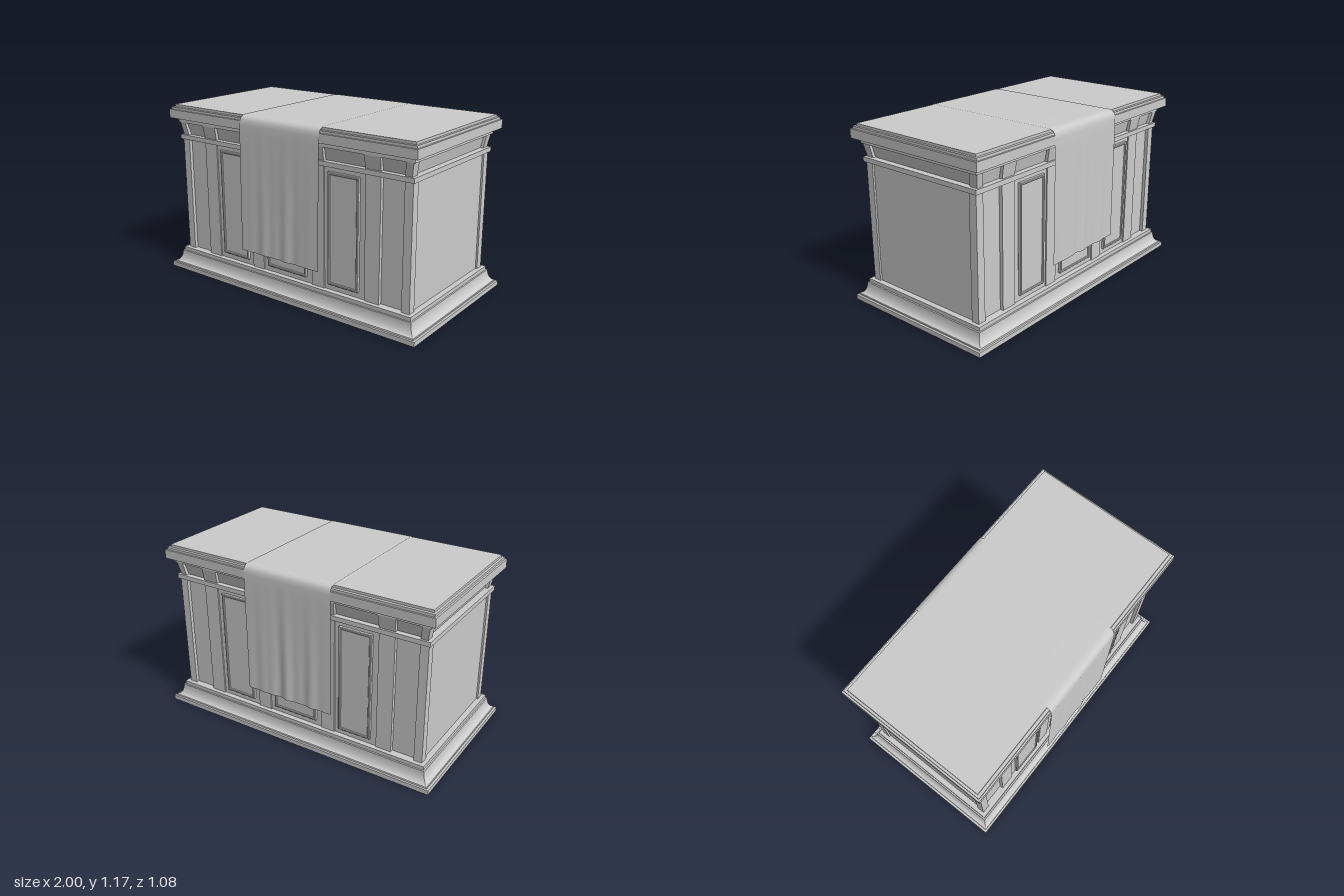
import * as THREE from 'three';
import { toCreasedNormals } from 'three/addons/utils/BufferGeometryUtils.js';

const grey = new THREE.MeshStandardMaterial({ color: 0xcccccc });
const clothGrey = new THREE.MeshStandardMaterial({ color: 0xcccccc, side: THREE.DoubleSide });

function add(parent, name, geometry, material = grey) {
  const mesh = new THREE.Mesh(geometry, material);
  mesh.name = name;
  parent.add(mesh);
  return mesh;
}

// Stack of rectangles [x0, x1, z0, z1, y] joined into a closed solid
function loft(sections) {
  const pos = [], idx = [];
  for (const [x0, x1, z0, z1, y] of sections) {
    pos.push(x0, y, z1, x1, y, z1, x1, y, z0, x0, y, z0);
  }
  for (let s = 0; s < sections.length - 1; s++) {
    for (let k = 0; k < 4; k++) {
      const a = s * 4 + k, b = s * 4 + (k + 1) % 4;
      idx.push(a, b, b + 4, a, b + 4, a + 4);
    }
  }
  const t = (sections.length - 1) * 4;
  idx.push(t, t + 1, t + 2, t, t + 2, t + 3, 0, 2, 1, 0, 3, 2);
  const g = new THREE.BufferGeometry();
  g.setAttribute('position', new THREE.Float32BufferAttribute(pos, 3));
  g.setIndex(idx);
  return toCreasedNormals(g, 0.5);
}

// Centred rectangle section and centred slab
const rect = (hx, hz, y) => [-hx, hx, -hz, hz, y];
const slab = (hx, hz, y0, y1) => loft([rect(hx, hz, y0), rect(hx, hz, y1)]);
const block = (x0, x1, z0, z1, y0, y1) => loft([[x0, x1, z0, z1, y0], [x0, x1, z0, z1, y1]]);

// Raised moulding frame with a flat field inside
function addPanel(parent, x0, x1, y0, y1, z) {
  const path = (target, i) => {
    target.moveTo(x0 + i, y0 + i);
    target.lineTo(x1 - i, y0 + i);
    target.lineTo(x1 - i, y1 - i);
    target.lineTo(x0 + i, y1 - i);
    target.closePath();
    return target;
  };
  const shape = path(new THREE.Shape(), 0.004);
  shape.holes.push(path(new THREE.Path(), 0.012));
  const frame = new THREE.ExtrudeGeometry(shape, {
    depth: 0.016, bevelEnabled: true, bevelSize: 0.004, bevelThickness: 0.004, bevelSegments: 1,
  });
  add(parent, 'panelMoulding', frame).position.z = z;
  add(parent, 'panelField', block(x0 + 0.01, x1 - 0.01, y0 ? z - 0.01 : z, z + 0.012, y0 + 0.01, y1 - 0.01));
}

// Panels, bays and pilasters of one long face, facing +z
function makeLongFace() {
  const face = new THREE.Group();
  face.name = 'longFace';
  for (const [x0, x1] of [[-0.595, -0.295], [-0.2, 0.2], [0.295, 0.595]]) {
    add(face, 'panelBay', block(x0, x1, 0.38, 0.445, 0.13, 0.93));
  }
  for (const [x0, x1] of [[-0.555, -0.33], [-0.16, 0.16], [0.33, 0.555]]) {
    addPanel(face, x0, x1, 0.18, 0.895, 0.446);
  }
  for (const [x0, x1] of [[-0.7, -0.595], [-0.295, -0.2], [0.2, 0.295], [0.595, 0.7]]) {
    add(face, 'pilaster', block(x0, x1, 0.38, 0.453, 0.13, 0.93));
    add(face, 'friezeBracket', loft([[x0, x1, 0.35, 0.453, 0.95], [x0 - 0.004, x1 + 0.004, 0.35, 0.47, 1.045]]));
  }
  return face;
}

// Cloth path across the top and down both ends, with folds growing downward
function clothGeometry() {
  const path = [[-0.525, 0.31], [-0.524, 0.5], [-0.523, 0.7], [-0.523, 0.9], [-0.522, 1.05], [-0.521, 1.11],
    [-0.517, 1.138], [-0.505, 1.155], [-0.486, 1.164], [-0.46, 1.166], [0, 1.166], [0.46, 1.166],
    [0.486, 1.164], [0.505, 1.155], [0.517, 1.138], [0.523, 1.11], [0.525, 1.05], [0.528, 0.9],
    [0.531, 0.7], [0.534, 0.5], [0.537, 0.28]];
  const cols = 48, g = new THREE.PlaneGeometry(1, 1, cols, path.length - 1);
  const p = g.attributes.position;
  for (let i = 0; i < p.count; i++) {
    const u = (i % (cols + 1)) / cols;
    const [z, y] = path[Math.floor(i / (cols + 1))];
    const drop = Math.max(0, (1.1 - y) / 0.8);
    const wave = Math.sin(u * 23 + z) * 0.6 + Math.sin(u * 41 + 2) * 0.4;
    const envelope = Math.sin(Math.PI * u);
    p.setXYZ(i, -0.312 + u * 0.626, y, z + wave * envelope * drop * (z < 0 ? 0.009 : 0.005));
  }
  g.computeVertexNormals();
  return g;
}

export function createModel() {
  const model = new THREE.Group();
  model.name = 'drapedTable';

  // Plinth with a concave moulding
  add(model, 'plinth', slab(1, 0.54, 0, 0.03));
  const cove = [rect(0.985, 0.527, 0.03), rect(0.985, 0.527, 0.038)];
  for (let i = 0; i <= 10; i++) {
    const a = (i / 10) * Math.PI / 2;
    cove.push(rect(0.945 + 0.038 * (1 - Math.sin(a)), 0.49 + 0.036 * (1 - Math.sin(a)), 0.115 - 0.075 * Math.cos(a)));
  }
  add(model, 'baseCove', loft(cove));
  add(model, 'baseFillet', slab(0.935, 0.48, 0.115, 0.14));

  // Recessed body and frieze
  add(model, 'bodyCore', slab(0.898, 0.43, 0.13, 0.93));
  add(model, 'frieze', loft([rect(0.88, 0.43, 0.95), rect(0.9, 0.452, 1.045)]));

  // Corner posts and the brackets above them
  for (const sx of [-1, 1]) {
    for (const sz of [-1, 1]) {
      const span = (s, a, b) => s > 0 ? [a, b] : [-b, -a];
      const at = (xi, xo, zi, zo, y) => [...span(sx, xi, xo), ...span(sz, zi, zo), y];
      add(model, 'cornerPost', loft([at(0.855, 0.91, 0.4, 0.453, 0.13), at(0.855, 0.91, 0.4, 0.453, 0.93)]));
      add(model, 'cornerBracket', loft([at(0.855, 0.9, 0.4, 0.453, 0.95), at(0.87, 0.918, 0.41, 0.47, 1.045)]));
    }
  }

  // Matching long faces
  const front = makeLongFace();
  const back = makeLongFace();
  back.rotation.y = Math.PI;
  model.add(front, back);

  // Band, cornice and stepped top
  add(model, 'band', slab(0.923, 0.467, 0.925, 0.955));
  add(model, 'corniceBoard', slab(0.927, 0.473, 1.04, 1.075));
  add(model, 'topSlab', slab(0.967, 0.516, 1.072, 1.13));
  add(model, 'topStep', slab(0.955, 0.505, 1.13, 1.146));
  add(model, 'tableTop', slab(0.94, 0.486, 1.146, 1.162));

  add(model, 'cloth', clothGeometry(), clothGrey);
  return model;
}
